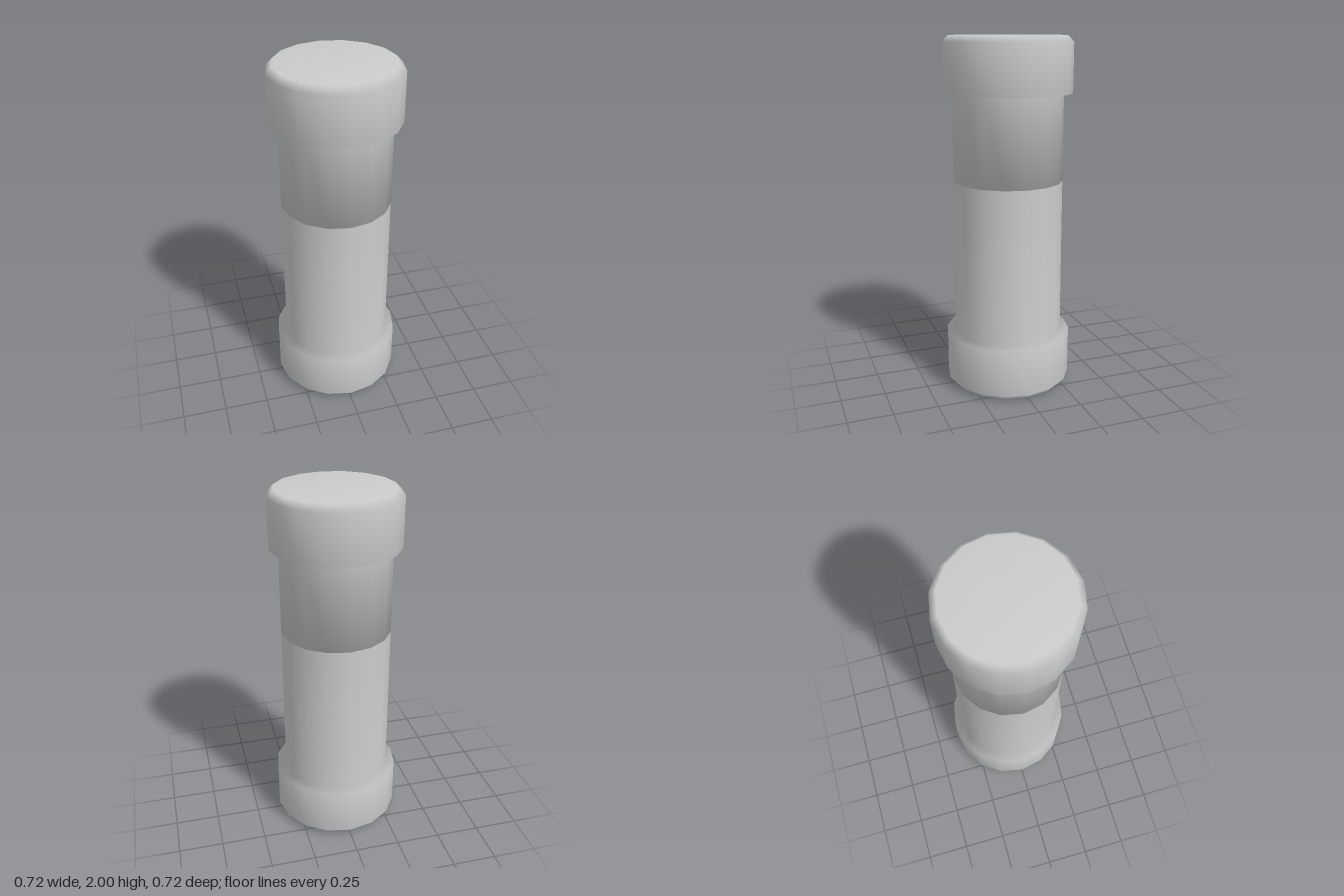
import * as THREE from 'three';

const SIDES = 16;
const BODY_R = 0.31, CAP_R = 0.36, CHAMFER_R = 0.325;
const SPLIT_Y = 1.2;

// Revolve a bottom-to-top profile of [radius, height] points
function turned(name, profile, material) {
  const points = profile.map(([r, y]) => new THREE.Vector2(r, y));
  const mesh = new THREE.Mesh(new THREE.LatheGeometry(points, SIDES), material);
  mesh.name = name;
  return mesh;
}

export function createModel() {
  const group = new THREE.Group();
  group.name = 'cappedCylinder';
  const grey = new THREE.MeshStandardMaterial({ color: 0xcccccc });

  // Lower tube with its chamfered foot cap, smooth over the shoulder
  group.add(turned('lowerBodyAndCap', [
    [0, 0], [CHAMFER_R, 0], [CAP_R, 0.035], [CAP_R, 0.31],
    [BODY_R, 0.31], [BODY_R, SPLIT_Y],
  ], grey));

  // Upper tube, closed underneath, with its chamfered top cap
  group.add(turned('upperBodyAndCap', [
    [0, SPLIT_Y], [BODY_R, SPLIT_Y], [BODY_R, 1.69], [CAP_R, 1.69],
    [CAP_R, 1.965], [CHAMFER_R, 2], [0, 2],
  ], grey));

  return group;
}
